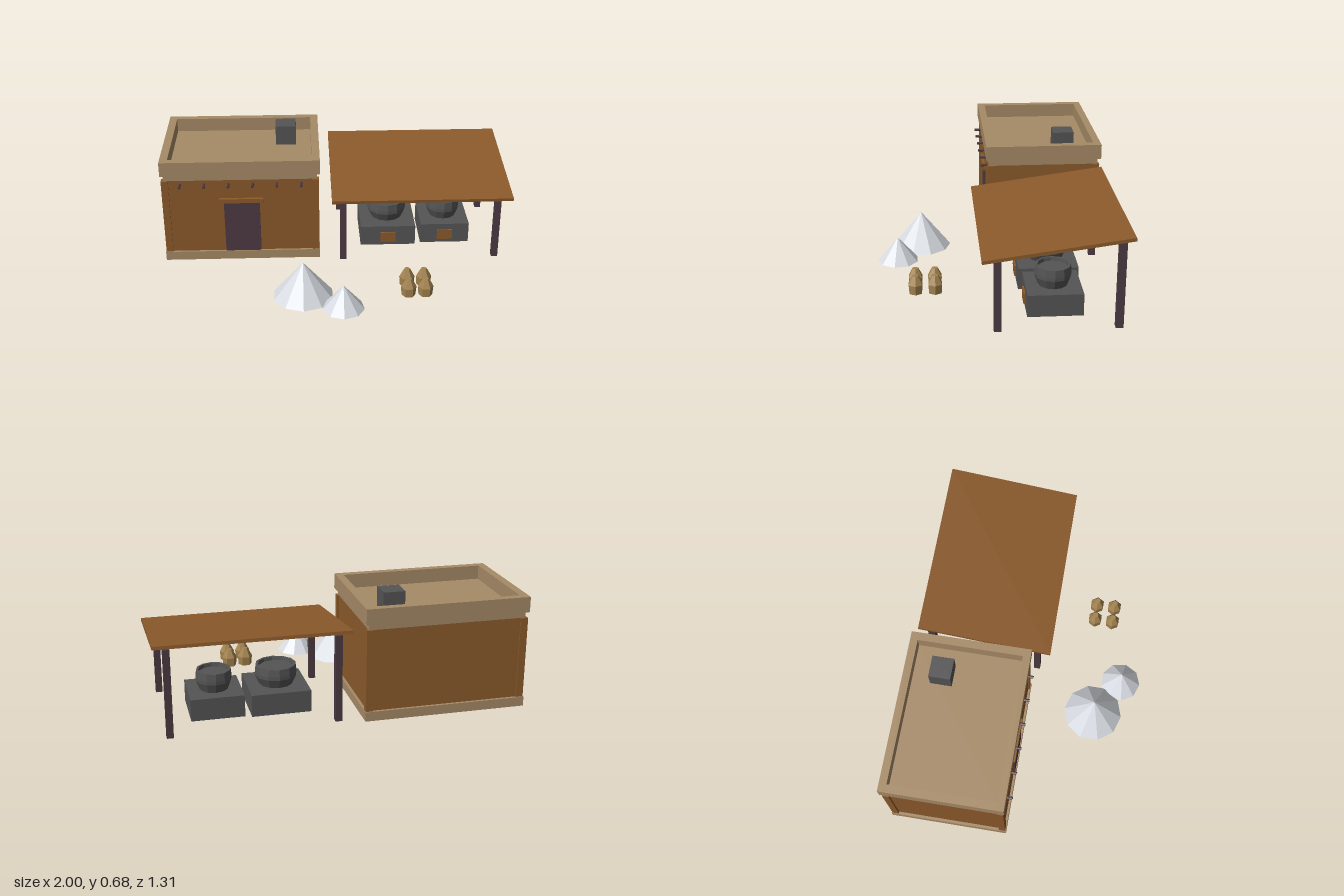
import * as THREE from 'three';

const mat = (name, color, extra = {}) => {
  const m = new THREE.MeshStandardMaterial({ color, flatShading: true, ...extra });
  m.name = name;
  return m;
};

export function createModel() {
  const root = new THREE.Group();
  root.name = 'saltWorks';
  const clay = mat('clayBrown', 0x8b5a2b);
  const trim = mat('paleMud', 0xa68a66);
  const wood = mat('darkWood', 0x4c3a42);
  const iron = mat('darkIron', 0x545454);
  const salt = mat('salt', 0xd6dae0);
  const sackCloth = mat('sackCloth', 0xa3834f);

  const add = (parent, name, geo, material, x = 0, y = 0, z = 0) => {
    const mesh = new THREE.Mesh(geo, material);
    mesh.name = name;
    mesh.position.set(x, y, z);
    parent.add(mesh);
    return mesh;
  };
  // Box given by its limits on each axis
  const box = (parent, name, material, [x0, x1], [y0, y1], [z0, z1]) =>
    add(parent, name, new THREE.BoxGeometry(x1 - x0, y1 - y0, z1 - z0), material,
      (x0 + x1) / 2, (y0 + y1) / 2, (z0 + z1) / 2);
  const group = (name) => {
    const g = new THREE.Group();
    g.name = name;
    root.add(g);
    return g;
  };

  // House: plinth, walls and corner posts
  const house = group('house');
  box(house, 'plinth', trim, [-1, -0.1], [0.012, 0.065], [-0.652, 0.01]);
  box(house, 'walls', clay, [-0.985, -0.115], [0.065, 0.52], [-0.637, -0.003]);
  for (const x of [-0.977, -0.123])
    for (const z of [-0.628, -0.012])
      box(house, 'cornerPost', clay, [x - 0.02, x + 0.02], [0.065, 0.52], [z - 0.018, z + 0.018]);

  // Flat roof with a raised parapet
  box(house, 'roofSlab', trim, [-0.985, -0.115], [0.52, 0.56], [-0.637, -0.003]);
  for (const z of [[-0.655, -0.613], [-0.03, 0.013]])
    box(house, 'parapetLong', trim, [-1, -0.097], [0.555, 0.64], z);
  for (const x of [[-1, -0.955], [-0.142, -0.097]])
    box(house, 'parapetShort', trim, x, [0.555, 0.64], [-0.613, -0.03]);
  box(house, 'chimney', iron, [-0.35, -0.23], [0.56, 0.676], [-0.51, -0.39]);

  // Door, lintel and roof beam ends
  box(house, 'door', wood, [-0.648, -0.443], [0.065, 0.38], [-0.003, 0.005]);
  box(house, 'lintel', clay, [-0.673, -0.423], [0.38, 0.406], [-0.003, 0.014]);
  for (let i = 0; i < 6; i++) {
    const beam = add(house, 'beamEnd', new THREE.CylinderGeometry(0.008, 0.008, 0.06, 6), wood,
      -0.892 + i * 0.1375, 0.495, 0.01);
    beam.rotation.x = Math.PI / 2;
  }

  // Sloping canopy on four posts
  const canopy = group('canopy');
  const roof = add(canopy, 'canopyRoof', new THREE.BoxGeometry(1.03, 0.018, 0.76), clay, 0.483, 0.47, -0.27);
  roof.rotation.x = 0.135;
  for (const x of [0.035, 0.926]) {
    box(canopy, 'frontPost', wood, [x - 0.018, x + 0.018], [0.012, 0.408], [0.006, 0.043]);
    box(canopy, 'backPost', wood, [x - 0.018, x + 0.018], [0.012, 0.495], [-0.614, -0.575]);
  }

  // Stoves with fire doors and boiling pots
  const stove = (x, hw, hd, r) => {
    const g = group('stove');
    const z = -0.287;
    box(g, 'stoveBlock', iron, [x - hw, x + hw], [0.012, 0.134], [z - hd, z + hd]);
    box(g, 'fireDoor', clay, [x - 0.045, x + 0.045], [0.037, 0.097], [z + hd, z + hd + 0.01]);
    const profile = [[0, 0.134], [0.8, 0.134], [1, 0.185], [1, 0.205], [0.96, 0.245], [0.84, 0.245], [0.82, 0.225], [0, 0.225]]
      .map(([k, y]) => new THREE.Vector2(k * r, y));
    add(g, 'pot', new THREE.LatheGeometry(profile, 12), iron, x, 0, z);
  };
  stove(0.31, 0.163, 0.165, 0.116);
  stove(0.652, 0.145, 0.147, 0.098);

  // Salt heaps
  const heaps = group('saltHeaps');
  add(heaps, 'largeHeap', new THREE.ConeGeometry(0.17, 0.208, 10), salt, -0.203, 0.104, 0.398);
  add(heaps, 'smallHeap', new THREE.ConeGeometry(0.117, 0.14, 9), salt, 0.014, 0.07, 0.535);

  // Four tied sacks
  const sacks = group('sacks');
  const sackProfile = [[0, 0.012], [0.039, 0.012], [0.043, 0.064], [0.017, 0.113], [0, 0.113]]
    .map(([r, y]) => new THREE.Vector2(r, y));
  const sackGeo = new THREE.LatheGeometry(sackProfile, 6, Math.PI / 6);
  for (const x of [0.379, 0.473])
    for (const z of [0.328, 0.434])
      add(sacks, 'sack', sackGeo, sackCloth, x, 0, z);

  return root;
}
